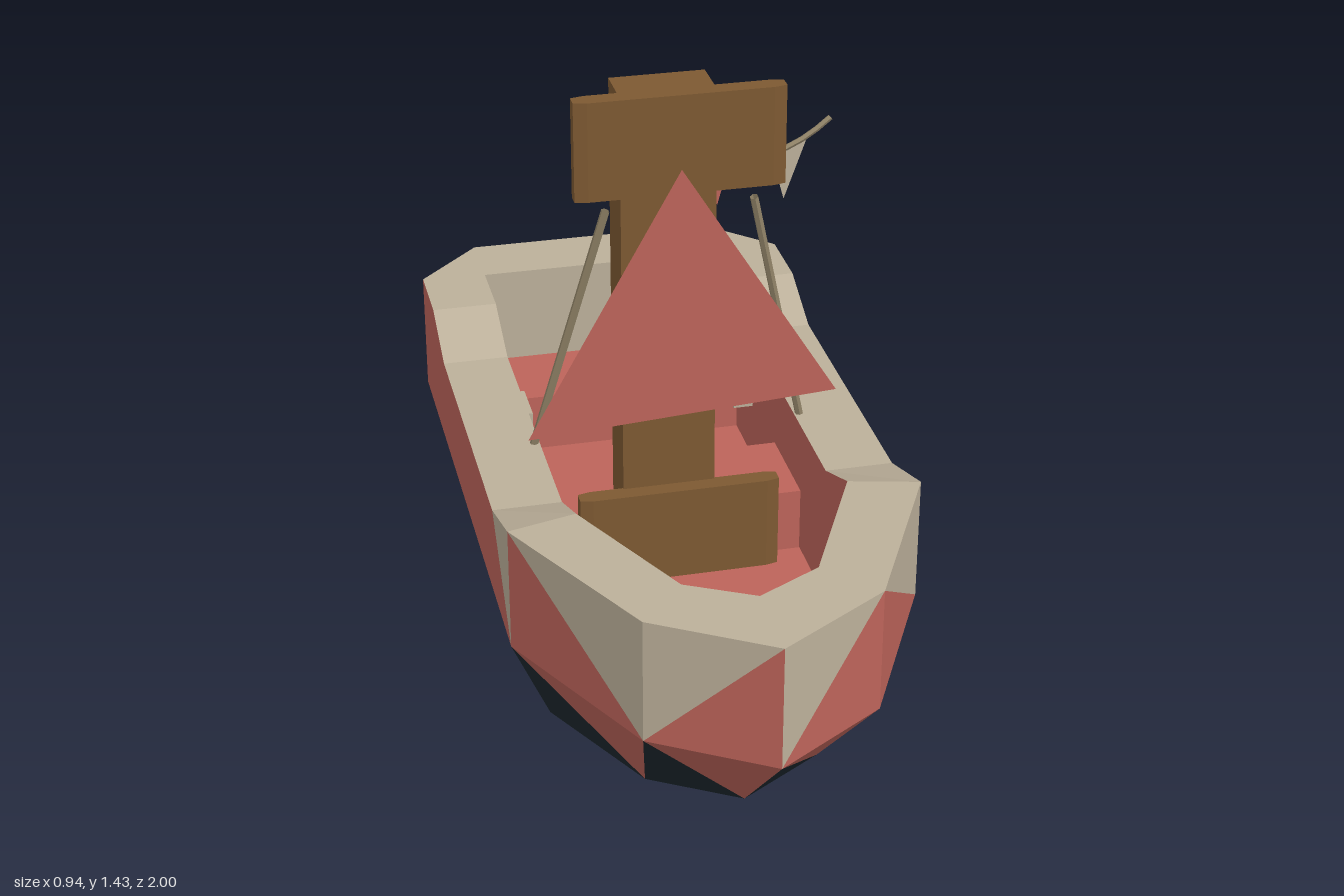
import * as THREE from 'three';

const mat = (name, color) => {
  const m = new THREE.MeshStandardMaterial({ color, flatShading: true, side: THREE.DoubleSide });
  m.name = name;
  return m;
};

export function createModel() {
  const red = mat('red', 0xbd645a), cream = mat('cream', 0xbcb09a), dark = mat('dark hull', 0x1d282e);
  const wood = mat('wood', 0x7d5932), rope = mat('rope', 0x94866a);
  const group = new THREE.Group();
  group.name = 'sailBoat';

  const add = (name, geo, material, x = 0, y = 0, z = 0) => {
    const m = new THREE.Mesh(geo, material);
    m.name = name;
    m.position.set(x, y, z);
    group.add(m);
    return m;
  };
  const box = (name, material, w, h, d, x, y, z) => add(name, new THREE.BoxGeometry(w, h, d), material, x, y, z);
  // flat faceted surface from a list of triangles
  const facets = (name, tris, material) => {
    const geo = new THREE.BufferGeometry();
    const pos = tris.filter(([a, b, c]) => a !== b && b !== c && a !== c).flat(2);
    geo.setAttribute('position', new THREE.Float32BufferAttribute(pos, 3));
    geo.computeVertexNormals();
    return add(name, geo, material);
  };
  // one strip quad split along '/' or '\' into a lower and an upper triangle
  const split = (diag, li, lj, ui, uj, lower, upper) => {
    lower.push(diag === '/' ? [li, lj, uj] : [li, lj, ui]);
    upper.push(diag === '/' ? [li, uj, ui] : [lj, uj, ui]);
  };
  // closed outline from half points: bow, left side, stern, right side
  const mirror = (half) => [...half, ...half.slice(1).reverse().map(([x, y, z]) => [-x, y, z])];

  // hull rings
  const outline = [[0, 1], [0.26, 0.84], [0.47, 0.43], [0.47, -0.84], [0.31, -1]];
  const top = mirror(outline.map(([x, z]) => [x, 0.6, z]));
  const mid = mirror(outline.map(([x, z]) => [x, 0.3, z]));
  const keelL = [0.36, 0, -0.79], keelR = [-0.36, 0, -0.79];
  const low = [[0, 0, 0.7], [0.2, 0, 0.58], [0.36, 0, 0.28], keelL, keelL,
    keelR, keelR, [-0.36, 0, 0.28], [-0.2, 0, 0.58]];
  const reds = [], creams = [], darks = [];
  const upperSplit = '/\\ \\// \\/', lowerSplit = '\\/\\//\\/\\\\';
  for (let i = 0; i < 9; i++) {
    const j = (i + 1) % 9;
    if (upperSplit[i] !== ' ') split(upperSplit[i], mid[i], mid[j], top[i], top[j], reds, creams);
    split(lowerSplit[i], low[i], low[j], mid[i], mid[j], darks, reds);
  }
  // long sides with the lowered gunwale
  const dips = [[0.53, 0.22], [0.53, -0.5], [0.6, -0.66]];
  const [l1, l2, l3] = dips.map(([y, z]) => [0.47, y, z]);
  const [r1, r2, r3] = dips.map(([y, z]) => [-0.47, y, z]);
  creams.push([mid[2], l1, top[2]], [mid[3], top[3], l3], [mid[3], l3, l2], [mid[7], top[7], r1]);
  reds.push([mid[2], mid[3], l2], [mid[2], l2, l1]);
  reds.push([mid[6], mid[7], r1], [mid[6], r1, r2], [mid[6], r2, r3], [mid[6], r3, top[6]]);
  // keel bottom
  const base = [low[0], low[1], low[2], keelL, keelR, low[7], low[8]];
  for (let i = 1; i < base.length - 1; i++) darks.push([base[0], base[i + 1], base[i]]);
  facets('hullPlanking', reds, red);
  facets('hullTrim', creams, cream);
  facets('hullBottom', darks, dark);

  // rim and inner walls
  const outer = [...top.slice(0, 3), l1, l2, l3, ...top.slice(3, 7), r3, r2, r1, ...top.slice(7)];
  const inner = mirror([[0, 0.6, 0.8], [0.15, 0.6, 0.72], [0.31, 0.6, 0.39],
    ...dips.map(([y, z]) => [0.31, y, z]), [0.31, 0.6, -0.83], [0.31, 0.6, -0.83]]);
  const floorY = 0.2, n = outer.length;
  const floorRing = inner.map(([x, , z]) => [x, floorY, z]);
  const rim = [], wallRed = [], wallCream = [], floor = [];
  for (let i = 0; i < n; i++) {
    const j = (i + 1) % n, stern = i === 7, bow = i < 2 || i > n - 3;
    rim.push([outer[i], outer[j], inner[j]], [outer[i], inner[j], inner[i]]);
    split('/', floorRing[j], floorRing[i], inner[j], inner[i],
      stern ? wallCream : wallRed, stern || bow ? wallCream : wallRed);
    if (i > 0 && i < n - 1) floor.push([floorRing[0], floorRing[i], floorRing[j]]);
  }
  facets('rim', rim, cream);
  facets('innerWall', wallRed, red);
  facets('innerWallTrim', wallCream, cream);
  facets('floor', floor, red);

  // benches and foredeck
  box('sternBench', red, 0.618, 0.15, 0.23, 0, 0.275, -0.715);
  box('midBench', red, 0.618, 0.16, 0.24, 0, 0.28, -0.1);
  const bowShape = new THREE.Shape([[-0.31, -0.39], [0.31, -0.39], [0.15, -0.72], [0, -0.8], [-0.15, -0.72]]
    .map(([x, y]) => new THREE.Vector2(x, y)));
  const bowGeo = new THREE.ExtrudeGeometry(bowShape, { depth: 0.14, bevelEnabled: false }).rotateX(-Math.PI / 2);
  add('foredeck', bowGeo, red, 0, floorY, 0);
  for (const s of [-1, 1]) box('cleat', cream, 0.05, 0.05, 0.12, s * 0.285, 0.37, -0.5);

  // mast: a plank with a rough carved back ridge
  const mast = new THREE.BoxGeometry(0.22, 1.22, 0.12, 2, 4, 1);
  const p = mast.attributes.position;
  const ridge = [-0.015, -0.025, 0, -0.025, 0];
  for (let i = 0; i < p.count; i++) {
    const row = Math.round((p.getY(i) + 0.61) / 0.305);
    if (p.getZ(i) < 0 && Math.abs(p.getX(i)) < 0.01) p.setZ(i, p.getZ(i) + ridge[row]);
  }
  mast.computeVertexNormals();
  add('mast', mast, wood, -0.02, 0.815, -0.02);

  // crossboards with chamfered ends
  const boardShape = new THREE.Shape([[-0.24, -0.015], [-0.21, -0.022], [0.21, -0.022], [0.24, -0.015],
    [0.24, 0.015], [0.21, 0.022], [-0.21, 0.022], [-0.24, 0.015]].map(([x, y]) => new THREE.Vector2(x, y)));
  const board = new THREE.ExtrudeGeometry(boardShape, { depth: 0.235, bevelEnabled: false }).rotateX(-Math.PI / 2);
  add('upperBoard', board, wood, 0, 1.2, 0.057);
  add('lowerBoard', board, wood, 0, floorY, 0.057);

  // sail
  facets('sail', [[[0, 1.26, 0.083], [-0.36, 0.62, 0.083], [0.37, 0.665, 0.083]]], red);

  // stays
  for (const s of [-1, 1]) {
    const path = new THREE.LineCurve3(new THREE.Vector3(s * 0.17, 1.17, 0.065), new THREE.Vector3(s * 0.33, 0.5, -0.065));
    add('stay', new THREE.TubeGeometry(path, 1, 0.01, 6), rope);
  }

  // pennant line with two pennants
  const line = new THREE.QuadraticBezierCurve3(new THREE.Vector3(0, 1.32, 0.005),
    new THREE.Vector3(0.18, 1.16, 0.005), new THREE.Vector3(0.36, 1.32, 0.005));
  add('pennantLine', new THREE.TubeGeometry(line, 10, 0.007, 5), rope);
  const pennant = (x, m, slope) => facets('pennant',
    [[[x - 0.04, 1.255 - slope, 0.005], [x - 0.01 * Math.sign(slope), 1.13, 0.005], [x + 0.04, 1.255 + slope, 0.005]]], m);
  pennant(0.09, red, -0.015);
  pennant(0.265, cream, 0.015);

  return group;
}
